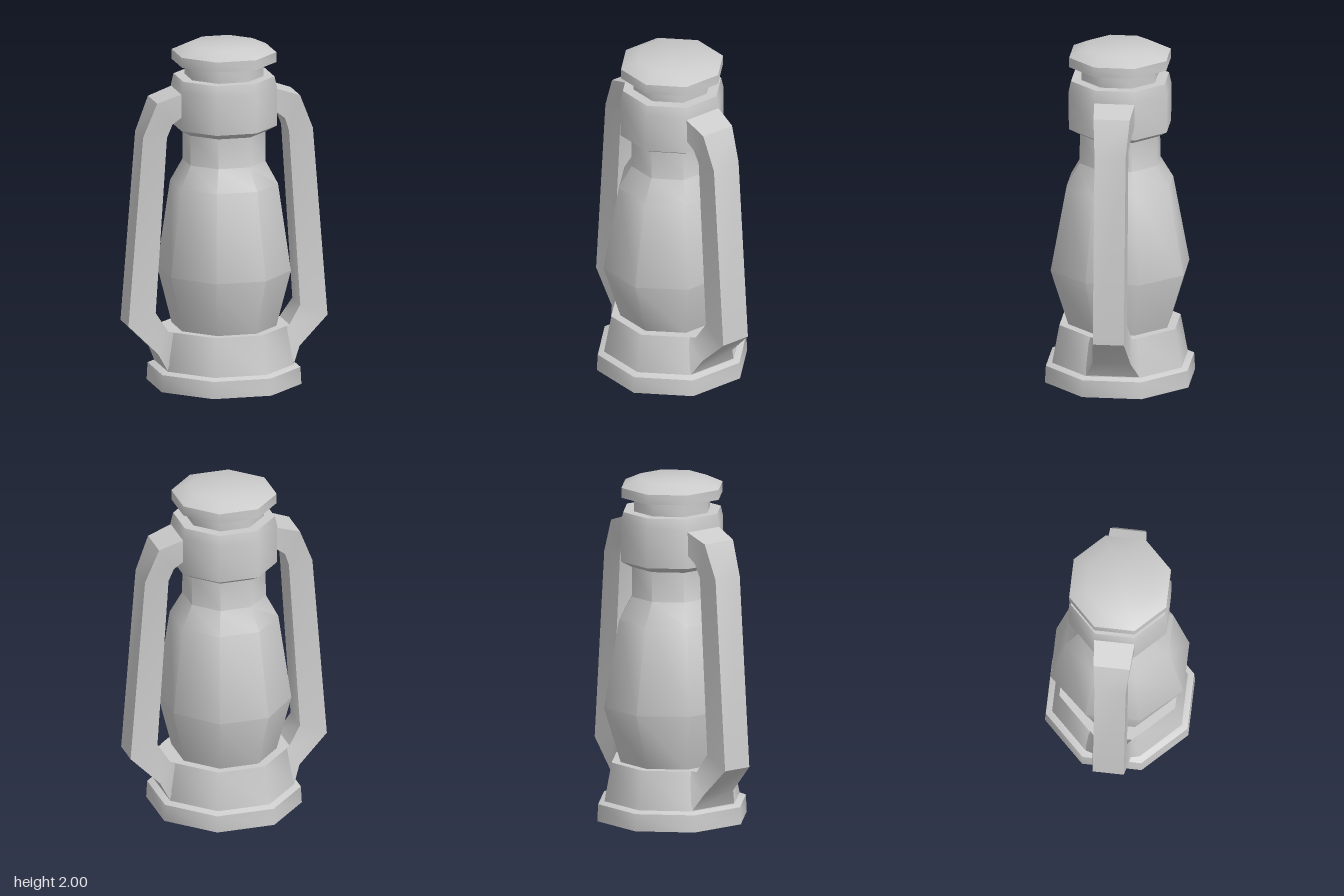
import * as THREE from 'three';
import { toCreasedNormals } from 'three/addons/utils/BufferGeometryUtils.js';

const SIDES = 8;
const CREASE = 0.82; // keeps octagon corners soft and rims sharp
const material = new THREE.MeshStandardMaterial({ color: 0xcccccc });

function addMesh(parent, name, geometry) {
  const mesh = new THREE.Mesh(toCreasedNormals(geometry, CREASE), material);
  mesh.name = name;
  parent.add(mesh);
  return mesh;
}

// Octagonal turning; each row is [half width across flats, y, optional x squeeze]
function octagonal(rows) {
  const toCorner = 1 / Math.cos(Math.PI / SIDES);
  const points = rows.map(([r, y]) => new THREE.Vector2(r * toCorner, y));
  const geometry = new THREE.LatheGeometry(points, SIDES, Math.PI / SIDES);
  const pos = geometry.attributes.position;
  for (let i = 0; i < pos.count; i++) {
    pos.setX(i, pos.getX(i) * (rows[i % rows.length][2] ?? 1));
  }
  geometry.deleteAttribute('uv');
  return geometry;
}

// Four-sided bar; each row is [outer x, outer y, inner x, inner y, half depth]
function bar(rows) {
  const positions = [];
  const index = [];
  rows.forEach(([ox, oy, ix, iy, h], i) => {
    positions.push(ox, oy, h, ox, oy, -h, ix, iy, -h, ix, iy, h);
    if (i === rows.length - 1) return;
    for (let k = 0; k < 4; k++) {
      const a = i * 4 + k;
      const d = i * 4 + ((k + 1) % 4);
      index.push(a, a + 4, d, a + 4, d + 4, d);
    }
  });
  const e = (rows.length - 1) * 4;
  index.push(0, 1, 2, 0, 2, 3, e, e + 2, e + 1, e, e + 3, e + 2);
  const geometry = new THREE.BufferGeometry();
  geometry.setAttribute('position', new THREE.Float32BufferAttribute(positions, 3));
  geometry.setIndex(index);
  return geometry;
}

export function createModel() {
  const lantern = new THREE.Group();
  lantern.name = 'lantern';

  // Foot plate and tapered fuel tank
  addMesh(lantern, 'base', octagonal([
    [0, 0], [0.415, 0], [0.41, 0.1], [0.375, 0.115], [0.335, 0.34], [0, 0.34],
  ]));

  // Glass chimney, slightly narrower across x at the belly
  addMesh(lantern, 'glass', octagonal([
    [0.285, 0.335, 0.98], [0.385, 0.67, 0.925], [0.295, 1.18, 0.98],
    [0.223, 1.31], [0.222, 1.5],
  ]));

  // Burner hood with its neck
  addMesh(lantern, 'hood', octagonal([
    [0, 1.487], [0.226, 1.487], [0.283, 1.522], [0.284, 1.75], [0.271, 1.812],
    [0.212, 1.812], [0.212, 1.9],
  ]));

  // Bevelled lid
  addMesh(lantern, 'lid', octagonal([
    [0, 1.897], [0.281, 1.897], [0.281, 1.955], [0.19, 2], [0, 2],
  ]));

  // Side arms from hood to tank, flared at both ends
  const armGeometry = bar([
    [0.265, 1.745, 0.265, 1.615, 0.118],
    [0.425, 1.69, 0.335, 1.56, 0.105],
    [0.505, 1.49, 0.363, 1.48, 0.09],
    [0.592, 0.38, 0.43, 0.45, 0.09],
    [0.42, 0.21, 0.36, 0.34, 0.11],
    [0.376, 0.12, 0.31, 0.34, 0.155],
  ]);
  addMesh(lantern, 'leftArm', armGeometry);
  addMesh(lantern, 'rightArm', armGeometry).rotation.y = Math.PI;

  return lantern;
}
